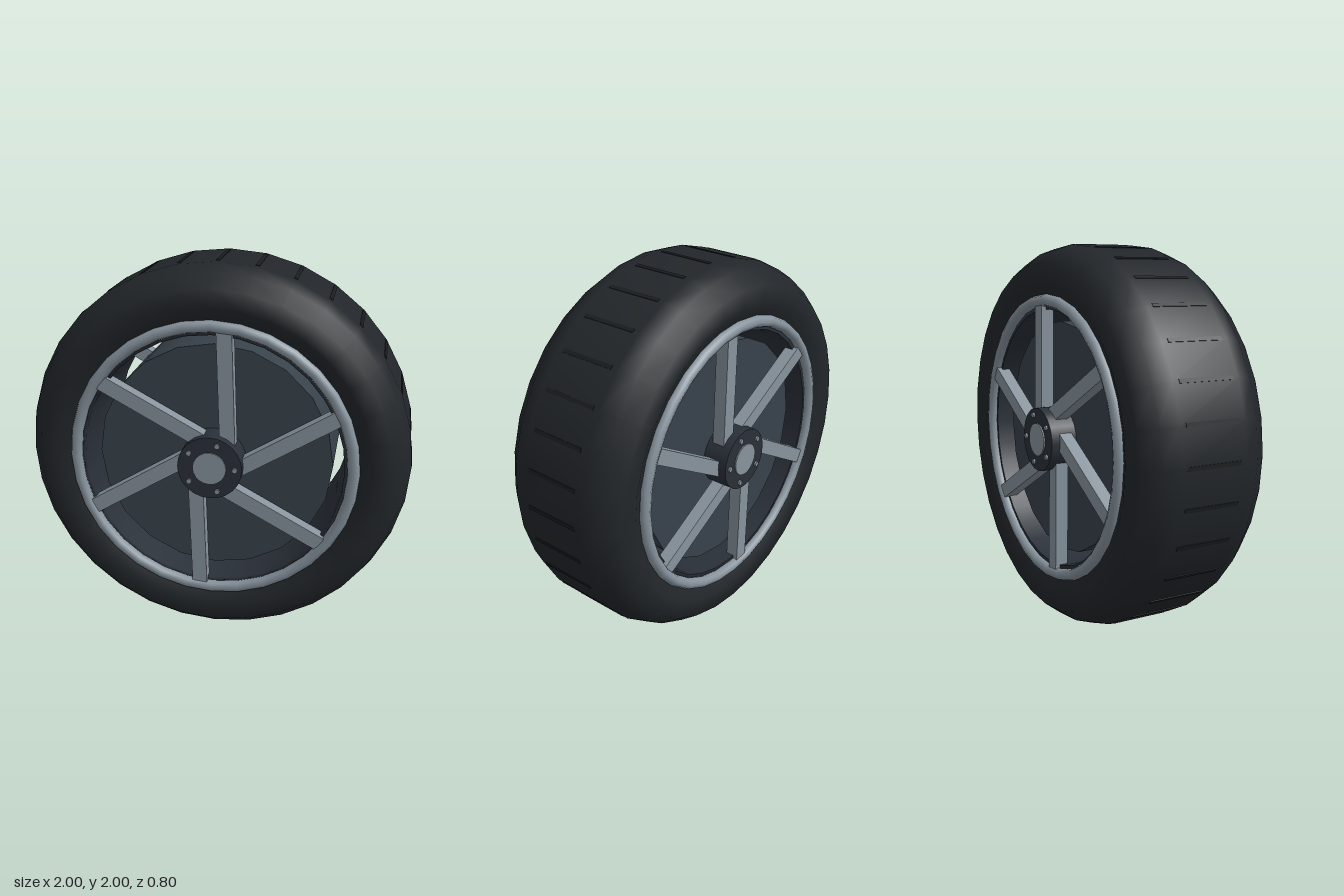
import * as THREE from 'three';

const mat = (color) => new THREE.MeshStandardMaterial({ color, side: THREE.DoubleSide });

export function createModel() {
  const wheel = new THREE.Group();
  wheel.name = 'wheel';
  const rubber = mat(0x22262a);
  const tread = mat(0x1a1d20);
  const metal = mat(0x87939d);
  const darkMetal = mat(0x38424b);
  const hubMetal = mat(0x2a3039);

  const add = (name, geometry, material, x = 0, y = 0, z = 0, parent = wheel) => {
    const mesh = new THREE.Mesh(geometry, material);
    mesh.name = name;
    mesh.position.set(x, y + (parent === wheel ? 1 : 0), z);
    parent.add(mesh);
    return mesh;
  };
  // Solids of revolution around the axle (z axis)
  const lathe = (points, segments) =>
    new THREE.LatheGeometry(points.map(([r, z]) => new THREE.Vector2(r, z)), segments).rotateX(Math.PI / 2);
  const disc = (radius, depth, segments) =>
    new THREE.CylinderGeometry(radius, radius, depth, segments).rotateX(Math.PI / 2);

  // Tyre: half profile mirrored into a closed section
  const half = [[1, 0.18], [0.97, 0.27], [0.905, 0.355], [0.81, 0.355], [0.74, 0.32], [0.69, 0.29]];
  const section = [...half.map(([r, z]) => [r, -z]).reverse(), ...half];
  add('tyre', lathe([...section, section[0]], 32), rubber);

  // Tread ribs across the tyre
  const ribs = new THREE.Group();
  ribs.name = 'treadRibs';
  ribs.position.y = 1;
  wheel.add(ribs);
  const ribGeometry = new THREE.BoxGeometry(0.02, 0.02, 0.3);
  for (let i = 0; i < 32; i++) {
    const a = (i / 32) * Math.PI * 2;
    const rib = add('treadRib', ribGeometry, tread, 0.992 * Math.cos(a), 0.992 * Math.sin(a), 0, ribs);
    rib.rotation.z = a - Math.PI / 2;
  }

  // Rim barrel and the solid centre drum
  add('rimBarrel', lathe([[0.672, -0.32], [0.7, -0.32], [0.7, 0.32], [0.672, 0.32], [0.672, -0.32]], 32), hubMetal);
  add('centreDrum', disc(0.61, 0.5, 20), darkMetal);

  // Both faces of the wheel carry the same parts
  const spokeGeometry = new THREE.BoxGeometry(0.078, 0.59, 0.07);
  for (const side of [1, -1]) {
    const face = new THREE.Group();
    face.name = side > 0 ? 'frontFace' : 'backFace';
    face.position.y = 1;
    wheel.add(face);

    add('rimRing', new THREE.TorusGeometry(0.718, 0.031, 8, 32), metal, 0, 0, side * 0.329, face);

    // Six spokes, set off-centre and slightly tilted
    for (let i = 0; i < 6; i++) {
      const pivot = new THREE.Group();
      pivot.name = 'spokePivot';
      pivot.rotation.z = (i * Math.PI) / 3;
      face.add(pivot);
      add('spoke', spokeGeometry, metal, 0.074, 0.4, side * 0.31, pivot).rotation.z = 0.03;
    }

    // Hub, cap and five bolts
    add('hub', disc(0.166, 0.15, 24), hubMetal, 0, 0, side * 0.315, face);
    add('hubCap', disc(0.086, 0.02, 20), metal, 0, 0, side * 0.387, face);
    for (let i = 0; i < 5; i++) {
      const a = (i / 5) * Math.PI * 2;
      add('bolt', disc(0.014, 0.02, 8), metal, 0.13 * Math.cos(a), 0.13 * Math.sin(a), side * 0.39, face);
    }
  }
  return wheel;
}
